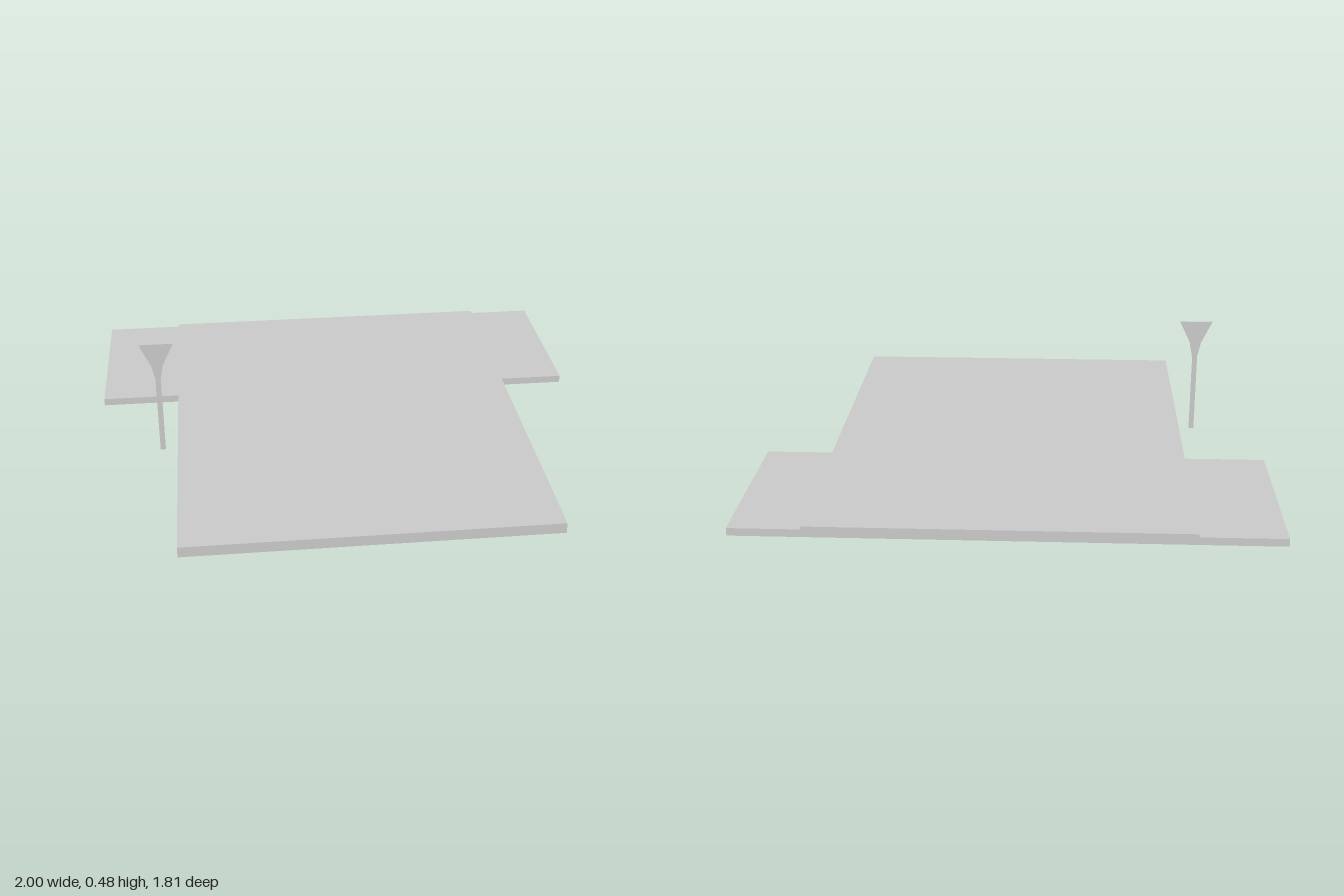
import * as THREE from 'three';

const material = new THREE.MeshStandardMaterial({ color: 0xcccccc, flatShading: true, side: THREE.DoubleSide });

// Box given by its limits along each axis
function slab(name, [x0, x1], [y0, y1], [z0, z1]) {
  const mesh = new THREE.Mesh(new THREE.BoxGeometry(x1 - x0, y1 - y0, z1 - z0), material);
  mesh.position.set((x0 + x1) / 2, (y0 + y1) / 2, (z0 + z1) / 2);
  mesh.name = name;
  return mesh;
}

export function createModel() {
  const model = new THREE.Group();
  model.name = 'platformWithSign';

  // Main platform and the two lower wings at the back
  model.add(slab('mainPlatform', [-0.683, 0.733], [0, 0.042], [-0.907, 0.907]));
  model.add(slab('rightWing', [-1, -0.683], [0, 0.03], [-0.907, -0.228]));
  model.add(slab('leftWing', [0.733, 1], [0, 0.03], [-0.907, -0.228]));

  // Flat signpost standing beside the platform
  const sign = new THREE.Group();
  sign.name = 'signpost';
  sign.position.set(-0.744, 0, 0.163);

  const pole = new THREE.Mesh(new THREE.PlaneGeometry(0.021, 0.34), material);
  pole.position.y = 0.17;
  pole.name = 'pole';
  sign.add(pole);

  // Flared head, narrow neck below and wide edge on top
  const half = [[0.012, 0.335], [0.023, 0.388], [0.067, 0.48]];
  const outline = [...half, ...half.map(([x, y]) => [-x, y]).reverse()];
  const shape = new THREE.Shape(outline.map(([x, y]) => new THREE.Vector2(x, y)));
  const head = new THREE.Mesh(new THREE.ExtrudeGeometry(shape, { depth: 0.006, bevelEnabled: false }), material);
  head.name = 'flaredHead';
  sign.add(head);

  model.add(sign);
  return model;
}
